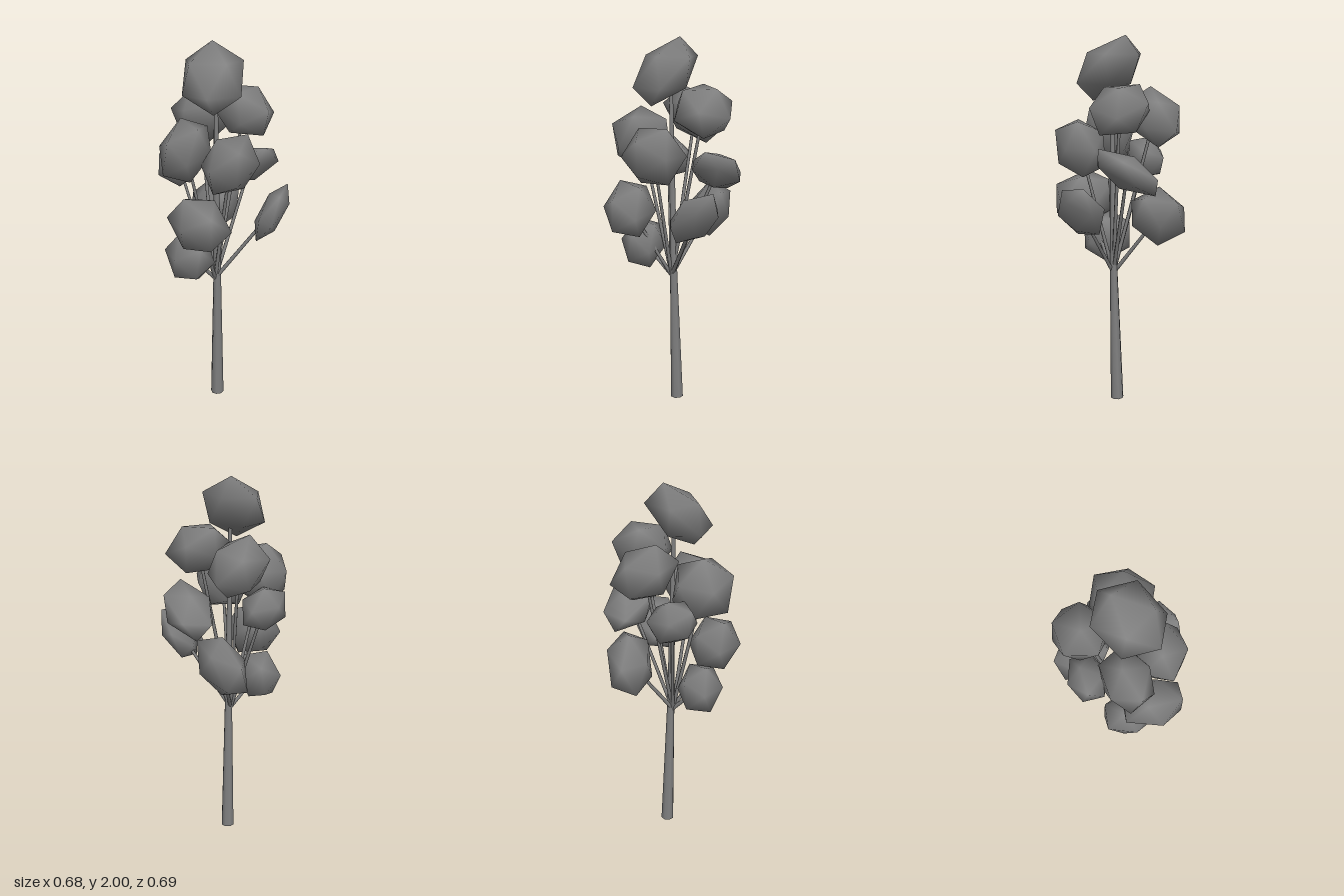
import * as THREE from 'three';
import { mergeVertices } from 'three/addons/utils/BufferGeometryUtils.js';
import { ConvexGeometry } from 'three/addons/geometries/ConvexGeometry.js';

const grey = new THREE.MeshStandardMaterial({ color: 0x808080 });
grey.name = 'grey';

const V = (x, y, z) => new THREE.Vector3(x, y, z);
const PHI = (1 + Math.sqrt(5)) / 2;

// Leaf clumps: centre, then three corners relative to it
const clumps = [
  [[0.03, 1.83, 0.05], [-0.075, 0.17, -0.05], [0.18, -0.07, -0.04], [-0.055, -0.08, 0.15]],
  [[-0.194, 1.583, -0.029], [-0.073, -0.063, -0.155], [0.136, 0.09, 0.006], [-0.088, 0.043, 0.129]],
  [[0.0225, 1.64, -0.153], [-0.118, 0.04, -0.114], [-0.053, 0.025, 0.159], [0.163, 0.015, -0.032]],
  [[0, 1.475, 0.2], [-0.024, 0.165, 0.011], [0.125, -0.04, 0.076], [-0.108, -0.128, 0.003]],
  [[0.184, 1.42, 0.055], [0.045, -0.005, 0.162], [0.005, -0.141, -0.082], [0.03, 0.15, -0.085]],
  [[-0.185, 1.345, 0.12], [-0.099, 0.027, 0.032], [0.03, -0.114, 0.014], [0.077, 0.09, 0.031]],
  [[0, 1.33, -0.22], [0.013, 0.05, 0.122], [-0.145, -0.125, -0.015], [0.053, 0.077, -0.114]],
  [[-0.195, 1.07, -0.12], [-0.153, 0.033, 0.037], [0.003, -0.16, 0], [0.137, 0.085, 0.034]],
  [[0.232, 1.13, -0.182], [0.09, 0.115, 0.025], [-0.004, -0.14, 0.1], [-0.035, 0.01, -0.115]],
  [[0.135, 1.12, 0.214], [0.037, 0.007, 0.135], [0.035, -0.14, -0.069], [0.034, 0.125, -0.074]],
  [[0.012, 0.9, 0.19], [0.035, 0.015, 0.117], [0.02, -0.135, -0.045], [0.03, 0.114, -0.077]],
];

// Smooth squashed icosahedron: three corners fix the other nine
function clumpGeometry(corners) {
  const sum = V(0, 0, 0);
  corners.forEach((c) => sum.add(c));
  const points = [];
  for (const c of corners) {
    const inner = sum.clone().multiplyScalar(PHI).addScaledVector(c, -1 / PHI);
    points.push(c, c.clone().negate(), inner, inner.clone().negate());
  }
  let g = new ConvexGeometry(points);
  g.deleteAttribute('normal');
  g = mergeVertices(g, 1e-4);
  g.computeVertexNormals();
  return g;
}

// Tapered stick between two points
function stick(name, a, b, ra, rb, sides) {
  const dir = b.clone().sub(a);
  const g = new THREE.CylinderGeometry(rb, ra, dir.length(), sides);
  const m = new THREE.Mesh(g, grey);
  m.name = name;
  m.position.copy(a).lerp(b, 0.5);
  m.quaternion.setFromUnitVectors(V(0, 1, 0), dir.normalize());
  return m;
}

export function createModel() {
  const tree = new THREE.Group();
  tree.name = 'tree';

  // Trunk with a thin leader up to the top clump
  const fork = V(0.016, 0.75, 0.013);
  tree.add(stick('trunk', V(0, 0, 0), fork, 0.036, 0.021, 8));
  tree.add(stick('leader', fork, V(0.02, 1.76, 0.025), 0.021, 0.01, 8));

  // Branches and clumps
  clumps.forEach(([centre, ...corners], i) => {
    const leaf = new THREE.Mesh(clumpGeometry(corners.map((c) => V(...c))), grey);
    leaf.name = 'leafClump' + (i + 1);
    leaf.position.set(...centre);
    tree.add(leaf);
    if (i === 0) return;
    tree.add(stick('branch' + i, V(0.015, 0.73, 0.025), V(...centre), 0.011, 0.008, 6));
  });
  return tree;
}
